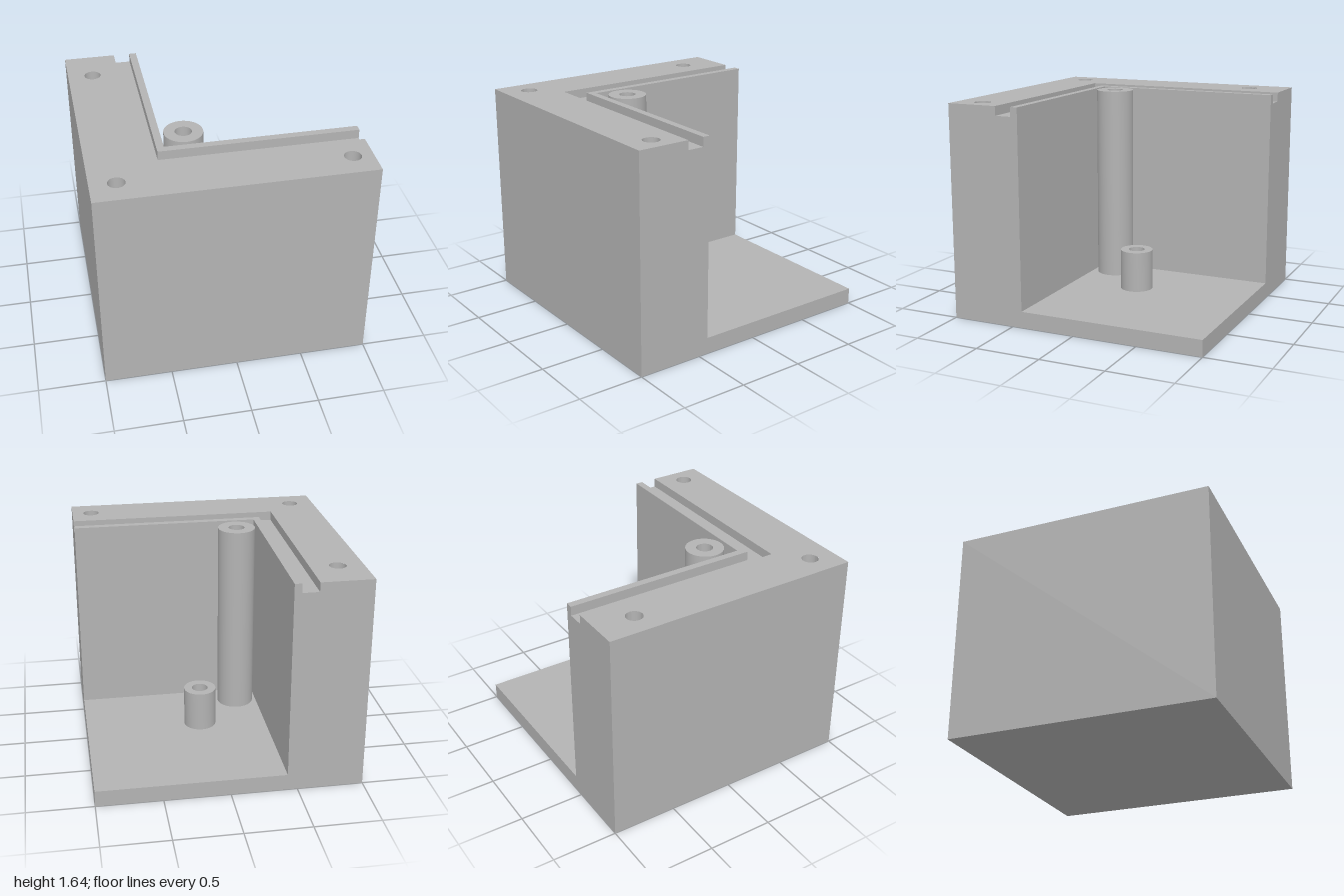
import * as THREE from 'three';
import { toCreasedNormals } from 'three/addons/utils/BufferGeometryUtils.js';

const HEIGHT = 1.64, FLOOR = 0.125, BORE = 0.0625;
const LEDGE = 0.395; // width of the outer wall top, up to the groove

// Wall and floor section: [distance in from the outer face, height]
const PROFILE = [
  [0, 0], [2, 0], [2, FLOOR], [0.575, FLOOR], [0.575, HEIGHT], [0.52, HEIGHT],
  [0.52, 1.57], [LEDGE, 1.57], [LEDGE, HEIGHT], [0, HEIGHT],
];

// Sweep the section around the mitred corner, leaving the ledge open for the drilled plate
function bodyGeometry() {
  const stations = [
    ([d, y]) => [-1 + d, y, -1],
    ([d, y]) => [-1 + d, y, 1 - d],
    ([d, y]) => [1, y, 1 - d],
  ];
  const pos = [];
  const tri = (...points) => points.forEach((p) => pos.push(...p));
  for (let s = 0; s < 2; s++) {
    const a = stations[s], b = stations[s + 1];
    PROFILE.forEach((p, i) => {
      if (i === 1 || i === PROFILE.length - 2) return;
      const q = PROFILE[(i + 1) % PROFILE.length];
      tri(a(p), a(q), b(q));
      tri(a(p), b(q), b(p));
    });
  }
  // End faces
  const outline = PROFILE.map(([d, y]) => new THREE.Vector2(d, y));
  for (const [i, j, k] of THREE.ShapeUtils.triangulateShape(outline, [])) {
    const [p, q, r] = [PROFILE[i], PROFILE[j], PROFILE[k]];
    tri(stations[0](r), stations[0](q), stations[0](p));
    tri(stations[2](p), stations[2](q), stations[2](r));
  }
  const geo = new THREE.BufferGeometry();
  geo.setAttribute('position', new THREE.Float32BufferAttribute(pos, 3));
  geo.computeVertexNormals();
  return geo;
}

function lathe(points) {
  const profile = points.map(([r, y]) => new THREE.Vector2(r, y));
  return toCreasedNormals(new THREE.LatheGeometry(profile, 48), 0.6);
}

export function createModel() {
  const model = new THREE.Group();
  const grey = new THREE.MeshStandardMaterial({ color: 0xb3b3b3 });
  grey.name = 'grey';
  const add = (name, geo, x = 0, z = 0) => {
    const mesh = new THREE.Mesh(geo, grey);
    mesh.name = name;
    mesh.position.set(x, 0, z);
    model.add(mesh);
  };

  add('cornerBody', bodyGeometry());

  // Top of the outer wall with its screw holes
  const holes = [[-0.81, -0.7], [-0.81, 0.8], [0.85, 0.8]];
  const inner = -1 + LEDGE;
  const ledge = new THREE.Shape([
    [-1, 1], [-1, -1], [1, -1], [1, inner], [inner, inner], [inner, 1],
  ].map(([x, y]) => new THREE.Vector2(x, y)));
  for (const [x, z] of holes) {
    ledge.holes.push(new THREE.Path().absarc(x, -z, BORE, 0, Math.PI * 2, true));
  }
  add('wallTop', new THREE.ShapeGeometry(ledge, 48).rotateX(-Math.PI / 2).translate(0, HEIGHT, 0));

  // Blind bores below the screw holes
  const bore = lathe([[BORE, HEIGHT], [BORE, 1.0], [0, 1.0]]);
  for (const [x, z] of holes) add('screwHole', bore, x, z);

  // Standing posts, each with a blind bore
  const post = (radius, top, bottom) => lathe([
    [radius, FLOOR], [radius, top], [BORE, top], [BORE, bottom], [0, bottom],
  ]);
  add('tallPost', post(0.145, HEIGHT, 1.0), -0.255, 0.25);
  add('shortPost', post(0.125, 0.4375, FLOOR + 0.005), 0.095, -0.1);

  return model;
}
